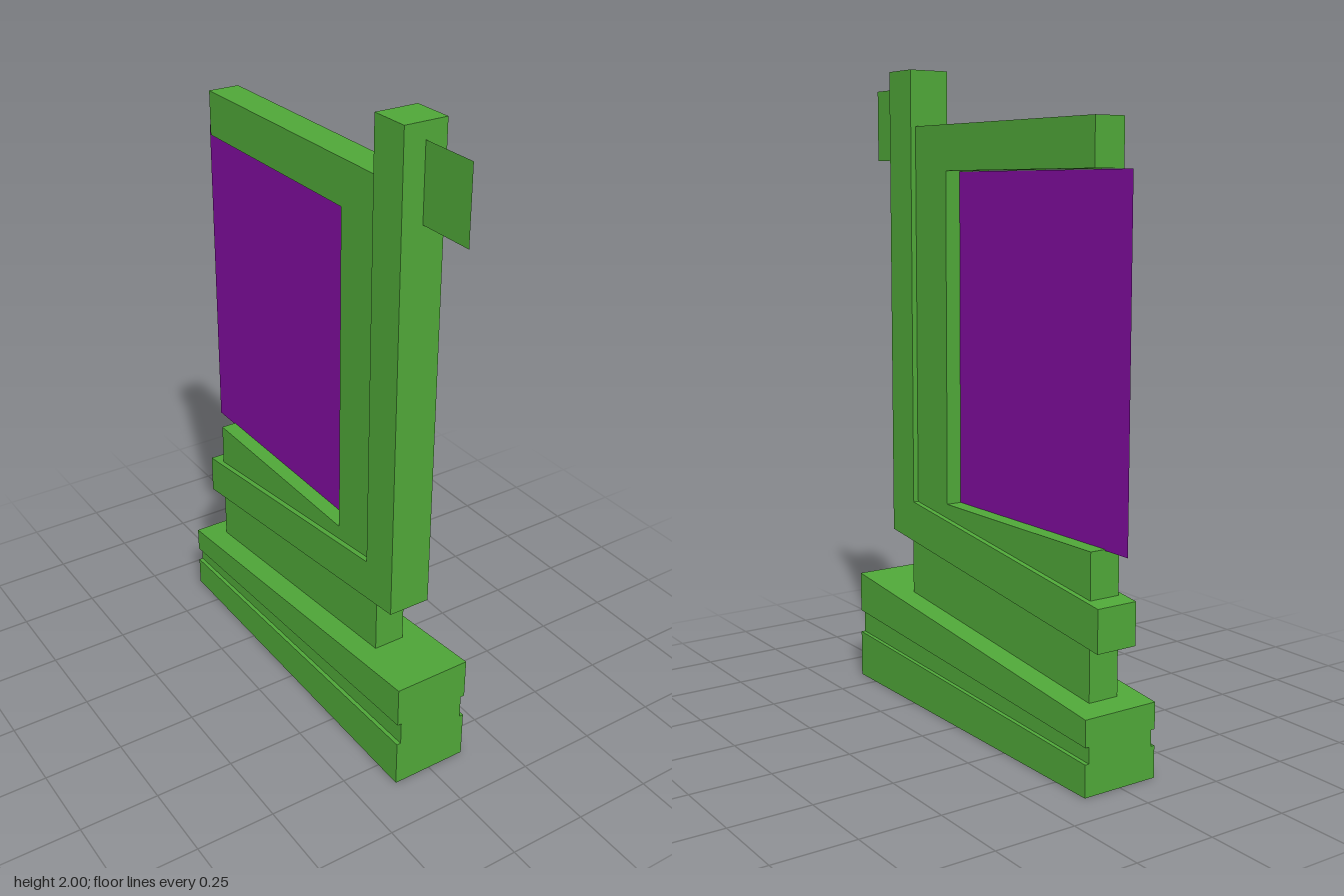
import * as THREE from 'three';

const green = new THREE.MeshStandardMaterial({ color: 0x4fa638, flatShading: true });
const greenThin = new THREE.MeshStandardMaterial({ color: 0x4fa638, side: THREE.DoubleSide });
const purpleThin = new THREE.MeshStandardMaterial({ color: 0x800d9e, side: THREE.DoubleSide });

// Side profile given as [z, y] points, extruded symmetrically across x
function slab(name, halfWidth, points) {
  const shape = new THREE.Shape(points.map(([z, y]) => new THREE.Vector2(-z, y)));
  const geo = new THREE.ExtrudeGeometry(shape, { depth: halfWidth * 2, bevelEnabled: false });
  geo.translate(0, 0, -halfWidth).rotateY(Math.PI / 2);
  const mesh = new THREE.Mesh(geo, green);
  mesh.name = name;
  return mesh;
}

// Thin upright sheet in the x = 0 plane
function sheet(name, material, z0, z1, y0, y1) {
  const geo = new THREE.PlaneGeometry(z1 - z0, y1 - y0).rotateY(Math.PI / 2);
  const mesh = new THREE.Mesh(geo, material);
  mesh.position.set(0, (y0 + y1) / 2, (z0 + z1) / 2);
  mesh.name = name;
  return mesh;
}

export function createModel() {
  const model = new THREE.Group();
  model.name = 'standingPanel';

  // Sloped base: two blocks with a narrower strip between them forming the groove
  const front = 0.592, back = -0.632;
  model.add(
    slab('baseBottom', 0.123, [[front, 0], [back, 0], [back, 0.095], [front, 0.15]]),
    slab('baseGroove', 0.11, [[front, 0.15], [back, 0.095], [back, 0.143], [front, 0.225]]),
    slab('baseTop', 0.123, [[front, 0.225], [back, 0.143], [back, 0.222], [front, 0.354]])
  );

  // Neck and C-shaped panel frame, open at the back
  model.add(slab('panelFrame', 0.05, [
    [0.37, 0.3], [-0.555, 0.2], [-0.555, 0.66], [0.165, 0.66], [0.165, 1.69],
    [-0.555, 1.69], [-0.555, 1.828], [0.37, 1.828],
  ]));

  // Upright post with sloping lower rail
  model.add(slab('postAndRail', 0.067, [
    [0.465, 0.525], [-0.61, 0.388], [-0.61, 0.515], [0.338, 0.638], [0.338, 2], [0.465, 2],
  ]));

  // Coloured screen in the opening and small tab on the post
  model.add(
    sheet('screen', purpleThin, -0.652, 0.168, 0.656, 1.688),
    sheet('tab', greenThin, 0.46, 0.655, 1.727, 1.952)
  );
  return model;
}
